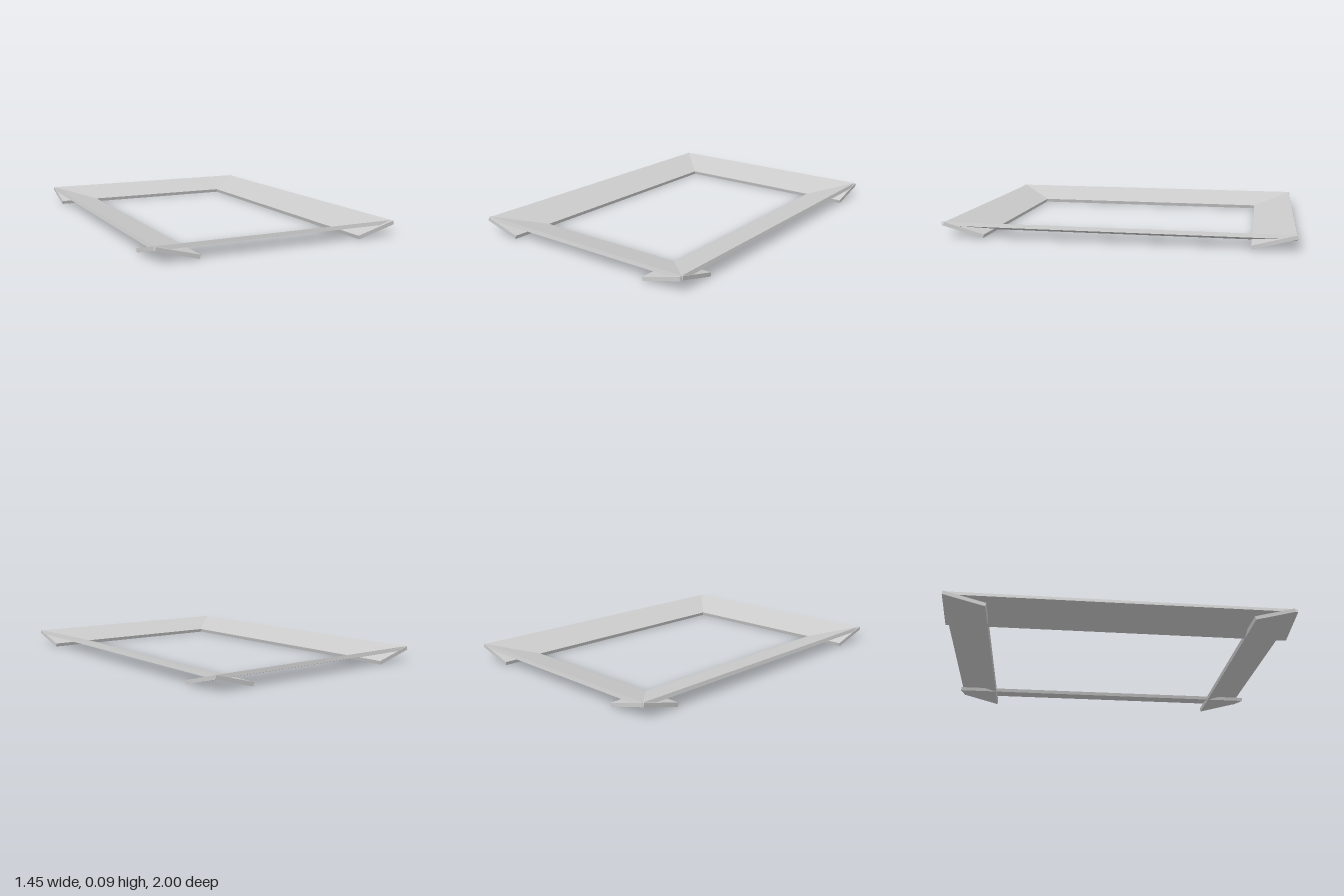
import * as THREE from 'three';

const TILT = THREE.MathUtils.degToRad(15); // slope of every plank
const WIDTH = 0.2465;
const THICK = 0.022;

export function createModel() {
  const frame = new THREE.Group();
  frame.name = 'slopedFrame';
  const material = new THREE.MeshStandardMaterial({ color: 0xcccccc, flatShading: true });

  // half extents of the tilted plank section
  const halfSpan = (WIDTH * Math.cos(TILT) + THICK * Math.sin(TILT)) / 2;
  const halfRise = (WIDTH * Math.sin(TILT) + THICK * Math.cos(TILT)) / 2;

  // a full-length plank, high on its outer edge and low on its inner edge
  function plank(name, length, outer, turn) {
    const board = new THREE.Mesh(new THREE.BoxGeometry(WIDTH, THICK, length), material);
    board.name = name;
    board.position.set(outer - halfSpan, halfRise, 0);
    board.rotation.z = TILT;
    const side = new THREE.Group();
    side.name = name + 'Side';
    side.rotation.y = turn;
    side.add(board);
    frame.add(side);
  }

  // planks cross at the corners, so their lower ends stick out as feet
  plank('leftPlank', 2, 0.725, 0);
  plank('rightPlank', 2, 0.725, Math.PI);
  plank('frontPlank', 1.454, 0.987, -Math.PI / 2);
  plank('backPlank', 1.454, 1, Math.PI / 2);

  return frame;
}
